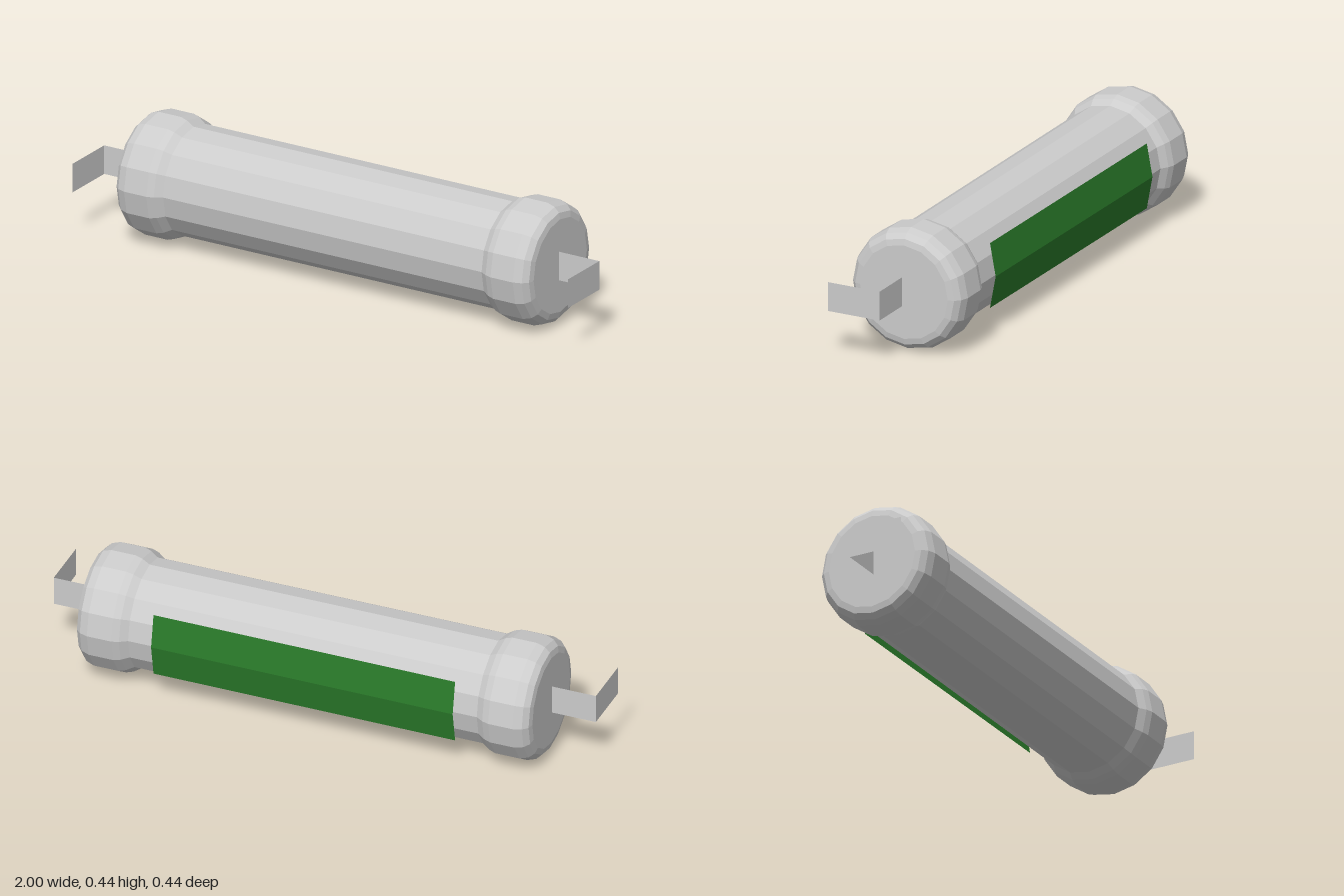
import * as THREE from 'three';

const AXIS_Y = 0.222;
const SIDES = 16;

function material(color, side = THREE.FrontSide) {
  return new THREE.MeshStandardMaterial({ color, flatShading: true, side });
}

// Open sheet lofted between two polylines of equal length
function sheet(a, b) {
  const pos = [];
  for (let i = 0; i < a.length - 1; i++) {
    pos.push(...a[i], ...b[i], ...b[i + 1], ...a[i], ...b[i + 1], ...a[i + 1]);
  }
  const g = new THREE.BufferGeometry();
  g.setAttribute('position', new THREE.Float32BufferAttribute(pos, 3));
  g.computeVertexNormals();
  return g;
}

export function createModel() {
  const model = new THREE.Group();
  const grey = material(0xcccccc);
  const greySheet = material(0xcccccc, THREE.DoubleSide);
  const add = (name, geometry, mat) => {
    const mesh = new THREE.Mesh(geometry, mat);
    mesh.name = name;
    model.add(mesh);
    return mesh;
  };

  // Faceted tube between the caps
  const body = add('body', new THREE.CylinderGeometry(0.195, 0.195, 1.32, SIDES, 1, true), greySheet);
  body.rotation.z = Math.PI / 2;
  body.position.y = AXIS_Y;

  // Rounded end caps: radius, distance from the middle
  const profile = [
    [0.193, 0.64], [0.212, 0.67], [0.22, 0.695], [0.22, 0.785],
    [0.21, 0.815], [0.192, 0.833], [0.17, 0.838], [0, 0.838],
  ].map(([r, d]) => new THREE.Vector2(r, d));
  const capGeometry = new THREE.LatheGeometry(profile, SIDES);

  for (const [side, s] of [['left', 1], ['right', -1]]) {
    const cap = add(side + 'Cap', capGeometry, grey);
    cap.rotation.z = -s * Math.PI / 2;
    cap.position.y = AXIS_Y;

    // Terminal strip: straight out of the cap, then bent forward
    const path = [[0.835, 0.007], [1, 0.007], [1, 0.208]];
    const edge = (y) => path.map(([x, z]) => [s * x, y, z]);
    add(side + 'Terminal', sheet(edge(0.275), edge(0.17)), greySheet);
  }

  // Folded label on the back of the tube, slightly askew
  const labelEdge = (x, dz) => [
    [x, 0.34, -0.183 + dz], [x, AXIS_Y, -0.205 + dz], [x, 0.104, -0.183 + dz],
  ];
  add('label', sheet(labelEdge(0.555, 0.002), labelEdge(-0.56, -0.004)),
    material(0x2a7a2a, THREE.DoubleSide));

  return model;
}
